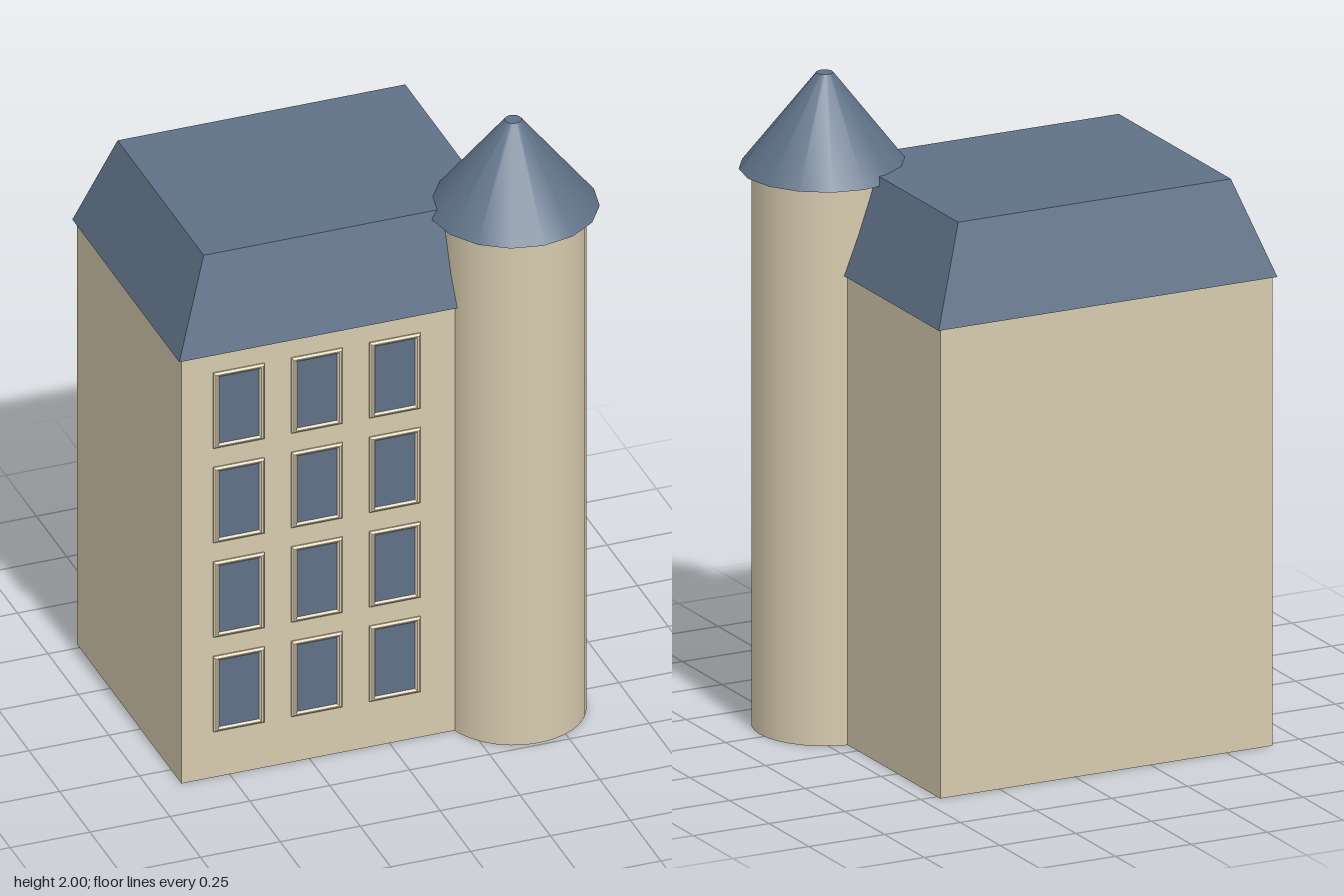
import * as THREE from 'three';

const wallMat = new THREE.MeshStandardMaterial({ name: 'sandstone', color: 0xd6c9ad });
const slateMat = new THREE.MeshStandardMaterial({ name: 'slateBlue', color: 0x5f7187 });

const CX = -0.103, CZ = -0.092;      // centre of the main block
const WALL_H = 1.44, FRONT_Z = 0.335;
const TX = 0.41, TZ = 0.275;         // centre of the corner tower

function add(parent, name, geometry, material, x, y, z) {
  const mesh = new THREE.Mesh(geometry, material);
  mesh.name = name;
  mesh.position.set(x, y, z);
  parent.add(mesh);
  return mesh;
}

// Hipped roof with a flat top: a box whose top corners are pulled inward
function roofGeometry(w, h, d, taper) {
  const g = new THREE.BoxGeometry(w, h, d);
  const p = g.attributes.position;
  for (let i = 0; i < p.count; i++) {
    if (p.getY(i) > 0) {
      p.setX(i, p.getX(i) * taper);
      p.setZ(i, p.getZ(i) * taper);
    }
  }
  g.computeVertexNormals();
  return g;
}

function rect(Type, w, h) {
  return new Type([
    new THREE.Vector2(-w / 2, -h / 2), new THREE.Vector2(w / 2, -h / 2),
    new THREE.Vector2(w / 2, h / 2), new THREE.Vector2(-w / 2, h / 2),
  ]);
}

// Bevelled window surround, open in the middle
function frameGeometry() {
  const b = 0.006;
  const shape = rect(THREE.Shape, 0.16 - 2 * b, 0.256 - 2 * b);
  shape.holes.push(rect(THREE.Path, 0.124 + 2 * b, 0.226 + 2 * b));
  return new THREE.ExtrudeGeometry(shape, {
    depth: 0.004, bevelEnabled: true, bevelSize: b, bevelThickness: b, bevelSegments: 1,
  });
}

export function createModel() {
  const model = new THREE.Group();
  model.name = 'towerHouse';

  // Main block and roof
  add(model, 'walls', new THREE.BoxGeometry(1.096, WALL_H, 0.854), wallMat, CX, WALL_H / 2, CZ);
  add(model, 'roof', roofGeometry(1.118, 0.293, 0.877, 0.805), slateMat, CX, WALL_H + 0.1465, CZ);

  // Round corner tower with a cone roof
  add(model, 'tower', new THREE.CylinderGeometry(0.215, 0.215, 1.71, 32), wallMat, TX, 0.855, TZ);
  add(model, 'towerRoof', new THREE.CylinderGeometry(0.025, 0.253, 0.29, 16), slateMat, TX, 1.855, TZ);

  // Windows: four floors of three on the front
  const frame = frameGeometry();
  const pane = new THREE.BoxGeometry(0.126, 0.228, 0.006);
  const windows = new THREE.Group();
  windows.name = 'windows';
  for (let row = 0; row < 4; row++) {
    for (let col = 0; col < 3; col++) {
      const x = -0.472 + col * 0.244, y = 0.284 + row * 0.321;
      add(windows, 'windowFrame', frame, wallMat, x, y, FRONT_Z);
      add(windows, 'windowPane', pane, slateMat, x, y, FRONT_Z + 0.001);
    }
  }
  model.add(windows);
  return model;
}
